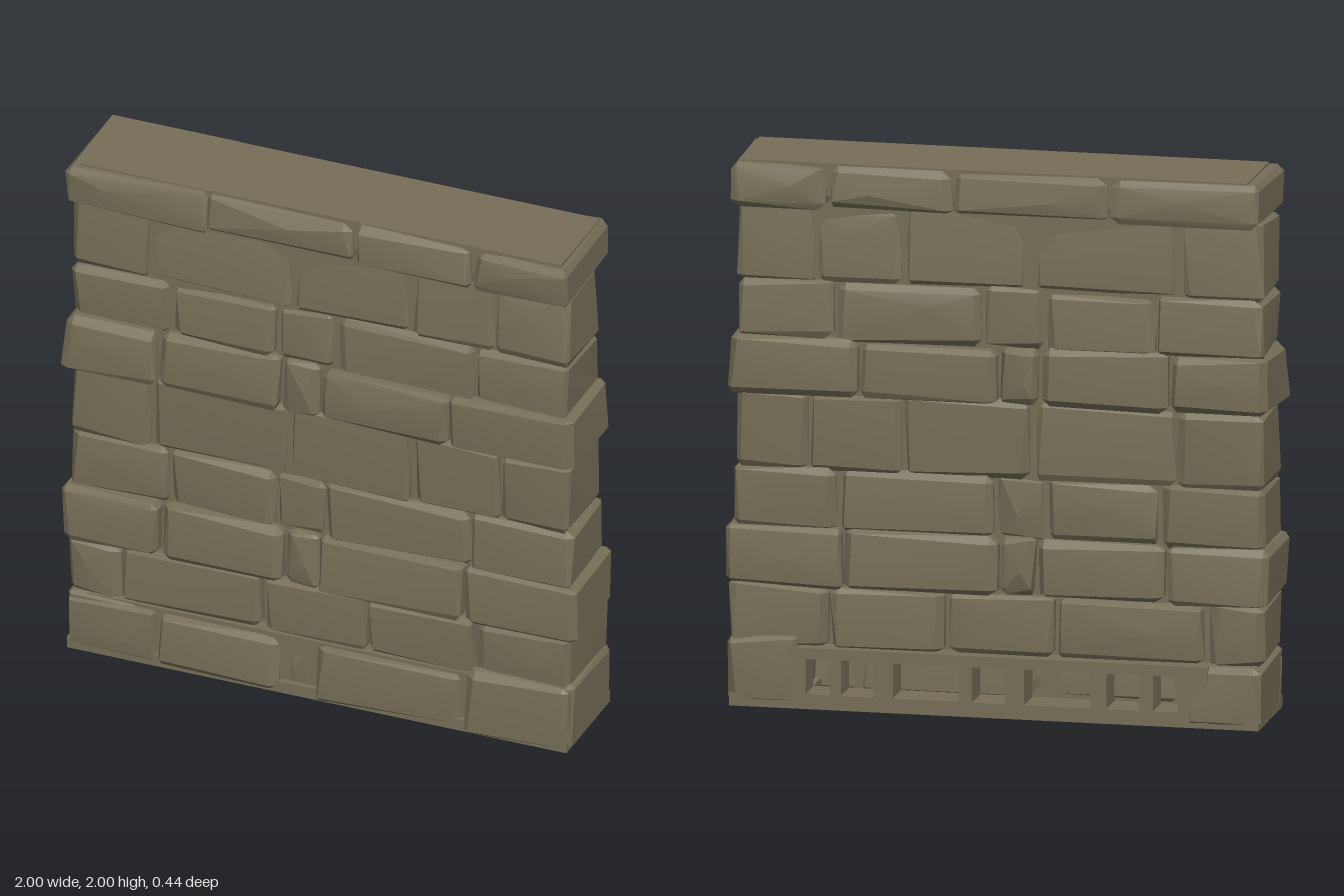
import * as THREE from 'three';
import { toCreasedNormals } from 'three/addons/utils/BufferGeometryUtils.js';
import { ConvexGeometry } from 'three/addons/geometries/ConvexGeometry.js';

const stoneColour = new THREE.MeshStandardMaterial({ color: 0x766e57 });
stoneColour.name = 'weathered stone';

// Small seeded generator for the chipped edges
let seed = 41;
const rand = (a, b) => {
  seed = (seed * 16807) % 2147483647;
  return a + (b - a) * (seed / 2147483647);
};

// Hewn stone: a box with uneven corners, chipped edges and slightly bulging faces
function stone(name, x0, x1, y0, y1, zb, zf, taper = 0) {
  const pts = [];
  const h = y1 - y0, w = x1 - x0;
  const cMax = Math.min(0.035, w * 0.2);
  for (const sx of [-1, 1]) for (const sy of [-1, 1]) for (const sz of [-1, 1]) {
    const x = (sx < 0 ? x0 : x1) - sx * rand(0, 0.015);
    const y = (sy < 0 ? y0 : y1) - sy * rand(0, 0.012);
    const z = (sz < 0 ? zb : zf) - sz * (rand(0, 0.018) + (sy > 0 ? taper : 0));
    const a = rand(0.008, cMax), b = rand(0.008, 0.03), c = rand(0.01, 0.035);
    pts.push(
      new THREE.Vector3(x - sx * a, y - sy * b, z),
      new THREE.Vector3(x - sx * a, y, z - sz * c),
      new THREE.Vector3(x, y - sy * b, z - sz * c)
    );
  }
  for (const [z, s] of [[zf, 1], [zb, -1]]) {
    pts.push(new THREE.Vector3(x0 + w * rand(0.3, 0.7), y0 + h * rand(0.35, 0.65), z + s * (0.002 - taper / 2)));
  }
  const mesh = new THREE.Mesh(toCreasedNormals(new ConvexGeometry(pts), 0.3), stoneColour);
  mesh.name = name;
  return mesh;
}

function block(name, x0, x1, y0, y1, z0, z1) {
  const mesh = new THREE.Mesh(new THREE.BoxGeometry(x1 - x0, y1 - y0, z1 - z0), stoneColour);
  mesh.position.set((x0 + x1) / 2, (y0 + y1) / 2, (z0 + z1) / 2);
  mesh.name = name;
  return mesh;
}

// Flat plate with rectangular openings, given as [x0, x1, y0, y1]
function plate(name, outer, openings, depth) {
  const corners = ([x0, x1, y0, y1]) => [[x0, y0], [x1, y0], [x1, y1], [x0, y1]].map(p => new THREE.Vector2(...p));
  const shape = new THREE.Shape(corners(outer));
  for (const o of openings) shape.holes.push(new THREE.Path(corners(o).reverse()));
  const mesh = new THREE.Mesh(new THREE.ExtrudeGeometry(shape, { depth, bevelEnabled: false }), stoneColour);
  mesh.name = name;
  return mesh;
}

// Courses: bottom, top, half depth, taper, joints along x
const courses = [
  [0.22, 0.445, 0.188, 0.005, [-0.98, -0.765, -0.22, 0.18, 0.61, 0.98]],
  [0.44, 0.655, 0.198, 0.008, [-1.0, -0.615, -0.145, -0.005, 0.56, 1.0]],
  [0.645, 0.87, 0.168, 0.004, [-0.975, -0.59, -0.18, 0.015, 0.58, 0.975]],
  [0.865, 1.145, 0.16, 0, [-0.98, -0.655, -0.13, 0.345, 0.69, 0.965]],
  [1.14, 1.35, 0.193, 0.005, [-1.0, -0.63, -0.155, -0.005, 0.5, 0.985]],
  [1.345, 1.56, 0.17, 0.008, [-0.975, -0.585, -0.175, 0.055, 0.59, 0.96]],
  [1.555, 1.84, 0.158, 0.02, [-0.975, -0.665, -0.115, 0.345, 0.665, 0.965]],
];

export function createModel() {
  const wall = new THREE.Group();
  wall.name = 'stoneWall';

  // Mortar core
  wall.add(block('core', -0.93, 0.93, 0.2, 1.88, -0.125, 0.125));

  // Middle courses; narrow filler stones sit further back
  courses.forEach(([y0, y1, d, taper, xs], row) => {
    const course = new THREE.Group();
    course.name = 'course' + (row + 2);
    for (let i = 0; i < xs.length - 1; i++) {
      const inner = i > 0 && i < xs.length - 2;
      const narrow = xs[i + 1] - xs[i] < 0.24 && inner;
      const back = narrow ? 0.02 : inner ? rand(0, 0.01) : 0;
      const lift = inner ? rand(-0.012, 0.01) : 0;
      course.add(stone('wallStone', xs[i], xs[i + 1], y0 - 0.006, y1 + 0.006 + lift, -d + back, d - back, taper));
    }
    wall.add(course);
  });

  // Bottom course: facing stones in front, full depth stones at the ends
  const base = new THREE.Group();
  base.name = 'bottomCourse';
  const joints = [-0.98, -0.615, -0.14, -0.005, 0.565, 0.985];
  for (let i = 0; i < 5; i++) {
    const narrow = i === 2;
    base.add(stone('baseFacingStone', joints[i], joints[i + 1], 0, i === 4 ? 0.26 : 0.225, 0.11, narrow ? 0.19 : 0.218, 0.006));
  }
  base.add(stone('baseEndStone', -0.98, -0.69, 0, 0.235, -0.215, 0.2, 0.005));
  base.add(stone('baseEndStone', 0.71, 0.985, 0, 0.265, -0.215, 0.2, 0.005));
  base.add(block('cavityFrontWall', -0.9, 0.9, 0.01, 0.23, 0.12, 0.18));

  // Underside with a long slot
  const foot = plate('slottedFoot', [-0.965, 0.97, -0.2, 0.2], [[-0.68, 0.7, -0.12, 0.06]], 0.045);
  foot.rotation.x = -Math.PI / 2;
  base.add(foot);

  // Vent grille along the back
  const vents = [[0.6, 0.69], [0.44, 0.56], [0.13, 0.37], [-0.04, 0.08], [-0.35, -0.11], [-0.53, -0.41], [-0.67, -0.58]];
  const grille = plate('ventGrille', [-0.78, 0.8, 0.01, 0.225], vents.map(([a, b]) => [a, b, 0.055, 0.185]), 0.14);
  grille.position.z = -0.205;
  base.add(grille);
  wall.add(base);

  // Coping stones with a flat top
  const coping = new THREE.Group();
  coping.name = 'coping';
  const caps = [-0.975, -0.42, 0.15, 0.605, 0.975];
  for (let i = 0; i < 4; i++) {
    coping.add(stone('copingStone', caps[i], caps[i + 1], 1.83 + (i === 1 ? 0.01 : 0), 1.997, -0.222, 0.222, 0.004));
  }
  coping.add(block('copingTop', -0.92, 0.94, 1.88, 2.0, -0.18, 0.18));
  wall.add(coping);

  return wall;
}
